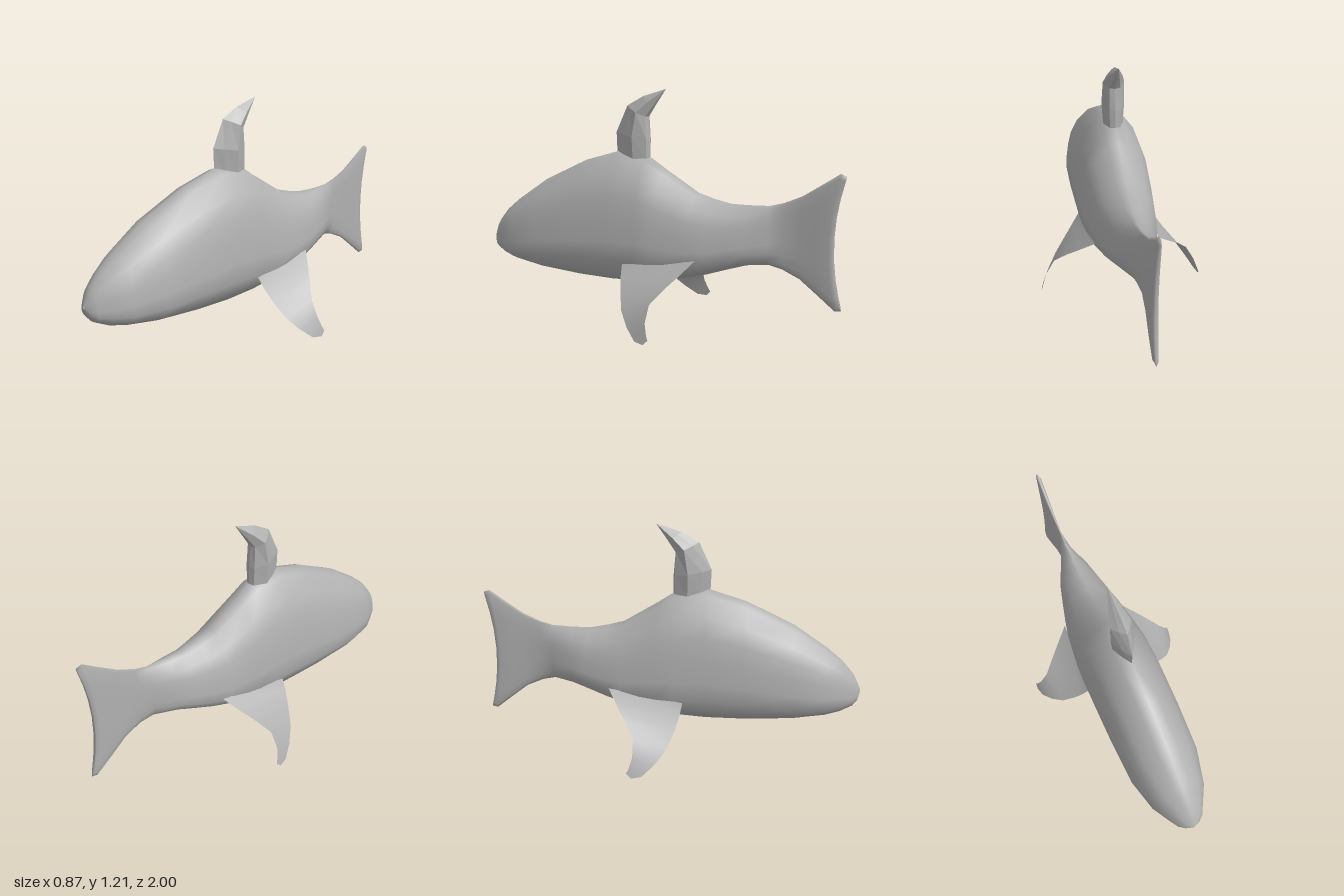
import * as THREE from 'three';

const grey = new THREE.MeshStandardMaterial({ color: 0xb0b0b0 });
grey.name = 'grey skin';
const greySheet = new THREE.MeshStandardMaterial({ color: 0xb0b0b0, side: THREE.DoubleSide });
greySheet.name = 'grey fin sheet';

// Joins rings of equal point count into one surface; closed rings wrap around
function loft(rings, closed = true) {
  const n = rings[0].length, index = [];
  for (let r = 0; r < rings.length - 1; r++) {
    for (let i = 0; i < (closed ? n : n - 1); i++) {
      const j = (i + 1) % n;
      const a = r * n + i, b = r * n + j, c = a + n, d = b + n;
      index.push(a, b, c, b, d, c);
    }
  }
  const g = new THREE.BufferGeometry();
  g.setAttribute('position', new THREE.Float32BufferAttribute(rings.flat(2), 3));
  g.setIndex(index);
  g.computeVertexNormals();
  return g;
}

// Adds the mirrored -x half to a half ring that starts and ends on x = 0
function mirrorRing(half) {
  return [...half, ...half.slice(1, -1).reverse().map(([x, y, z]) => [-x, y, z])];
}

function part(name, geometry, material = grey) {
  const mesh = new THREE.Mesh(geometry, material);
  mesh.name = name;
  return mesh;
}

function bodyGeometry() {
  // Half cross-section: share of half width, share of height
  const section = [[0, 1], [0.28, 0.97], [0.64, 0.83], [0.82, 0.69], [0.92, 0.53],
    [0.98, 0.36], [1, 0.22], [0.78, 0.1], [0.45, 0.03], [0, 0]];
  // z, bottom, top, half width, notch of the trailing edge
  const stations = [
    [1, 0.355, 0.365, 0.002], [0.985, 0.31, 0.4, 0.04], [0.96, 0.28, 0.45, 0.07],
    [0.9, 0.25, 0.52, 0.105], [0.82, 0.23, 0.585, 0.15], [0.65, 0.205, 0.7, 0.192],
    [0.4, 0.185, 0.82, 0.2], [0.2, 0.18, 0.88, 0.2], [0.03, 0.19, 0.86, 0.198],
    [-0.06, 0.205, 0.8, 0.193], [-0.24, 0.245, 0.69, 0.172], [-0.33, 0.27, 0.665, 0.15],
    [-0.43, 0.305, 0.645, 0.122], [-0.52, 0.335, 0.645, 0.095], [-0.63, 0.35, 0.65, 0.04],
    [-0.7, 0.335, 0.67, 0.014], [-0.79, 0.295, 0.71, 0.011], [-0.88, 0.225, 0.77, 0.016, 0.015],
    [-0.97, 0.153, 0.832, 0.017, 0.04], [-1, 0.16, 0.82, 0.012, 0.05], [-1, 0.16, 0.82, 0, 0.05],
  ];
  return loft(stations.map(([z, lo, hi, w, notch = 0]) => mirrorRing(section.map(([u, t]) => [
    w * (z < -0.75 ? Math.pow(u, 0.4) : u), // the tail blade is blunt
    lo + (hi - lo) * t,
    z + notch * (1 - (2 * t - 1) ** 2),
  ]))));
}

function dorsalGeometry() {
  const section = [[0, 0], [0.5, 0.25], [1, 0.6], [0.5, 0.95], [0, 1]];
  // Front z, y, rear z, y, half width
  const levels = [[0.21, 0.86, 0.02, 0.84, 0.052], [0.215, 0.98, 0.02, 0.95, 0.06],
    [0.15, 1.12, 0.03, 1.065, 0.055], [0.06, 1.17, -0.01, 1.125, 0.034],
    [-0.07, 1.21, -0.07, 1.21, 0]];
  const g = loft(levels.map(([zf, yf, zr, yr, w]) => mirrorRing(section.map(([u, t]) =>
    [w * u, yf + (yr - yf) * t, zf + (zr - zf) * t])))).toNonIndexed();
  g.computeVertexNormals(); // faceted
  return g;
}

function pectoralGeometry(side) {
  // Leading and trailing edges from root to tip
  const leading = [[0.195, 0.32, 0.09], [0.23, 0.265, 0.08], [0.275, 0.2, 0.06],
    [0.335, 0.12, 0.025], [0.385, 0.055, -0.03], [0.422, 0.005, -0.09], [0.435, 0, -0.14]];
  const trailing = [[0.165, 0.37, -0.3], [0.24, 0.3, -0.24], [0.3, 0.245, -0.19],
    [0.36, 0.18, -0.14], [0.405, 0.1, -0.138], [0.425, 0.045, -0.155], [0.432, 0.025, -0.165]];
  return loft(leading.map((p, i) => [p, trailing[i]].map(([x, y, z]) => [side * x, y, z])), false);
}

export function createModel() {
  const model = new THREE.Group();
  model.name = 'fish';
  model.add(part('bodyAndTail', bodyGeometry()));
  model.add(part('dorsalFin', dorsalGeometry()));
  model.add(part('leftPectoralFin', pectoralGeometry(1), greySheet));
  model.add(part('rightPectoralFin', pectoralGeometry(-1), greySheet));
  return model;
}
